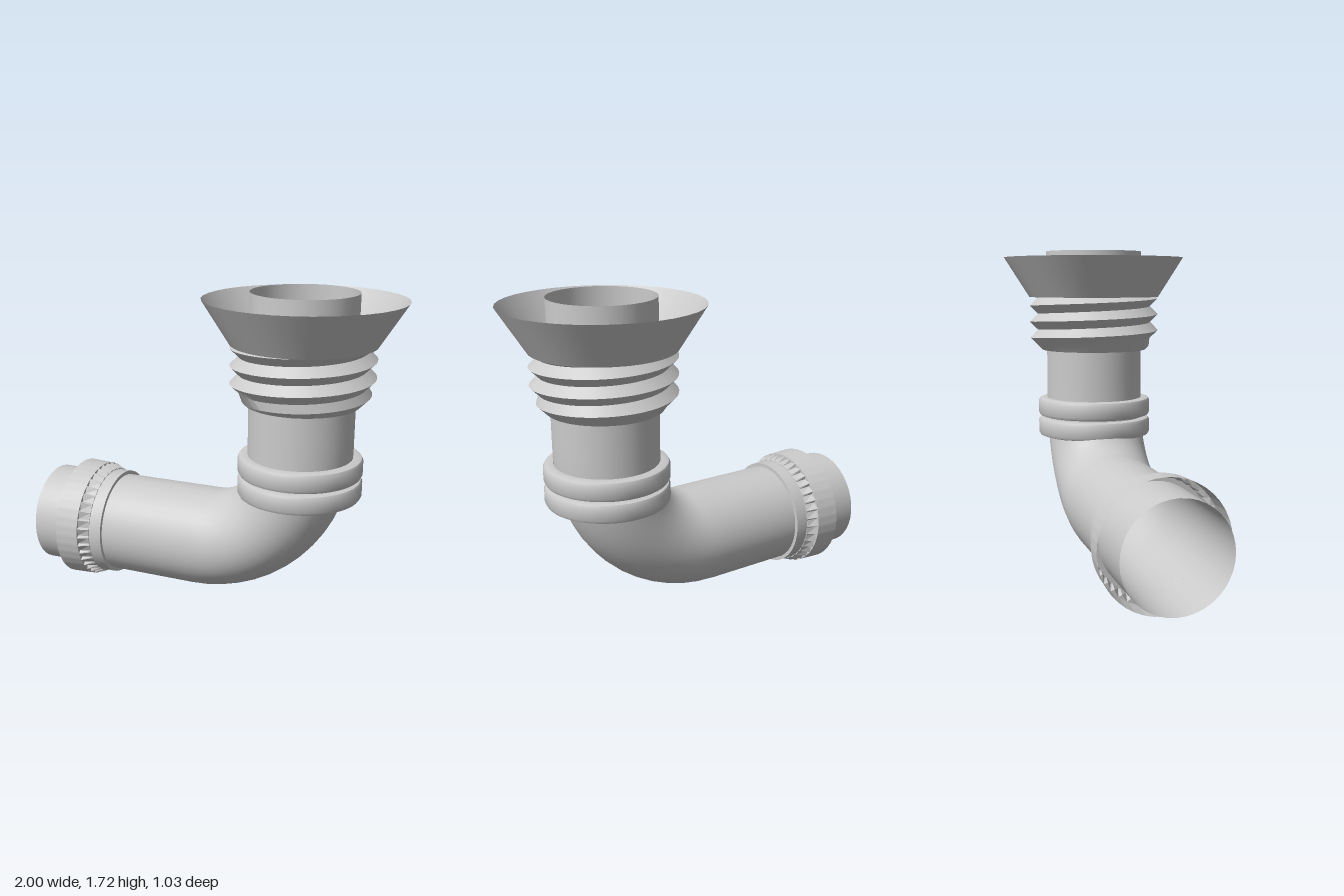
import * as THREE from 'three';
import { toCreasedNormals } from 'three/addons/utils/BufferGeometryUtils.js';

const TAU = Math.PI * 2;
const AXIS_X = 0.48;   // upright pipe axis
const AXIS_Y = 0.335;  // level pipe axis
const R = 0.275;       // pipe radius

const smooth = new THREE.MeshStandardMaterial({ color: 0xcccccc, side: THREE.DoubleSide });
const faceted = new THREE.MeshStandardMaterial({ color: 0xcccccc, side: THREE.DoubleSide, flatShading: true });

// Skin a grid of points: rows x (cols + 1), point(row, col) -> [x, y, z]
function skin(rows, cols, point) {
  const pos = [], index = [];
  for (let j = 0; j < rows; j++) {
    for (let i = 0; i <= cols; i++) pos.push(...point(j, i));
  }
  for (let j = 0; j < rows - 1; j++) {
    for (let i = 0; i < cols; i++) {
      const a = j * (cols + 1) + i, c = a + cols + 1;
      index.push(a, a + 1, c, a + 1, c + 1, c);
    }
  }
  const g = new THREE.BufferGeometry();
  g.setAttribute('position', new THREE.Float32BufferAttribute(pos, 3));
  g.setIndex(index);
  return toCreasedNormals(g, 0.6);
}

// Turned ring from [radius, height] pairs
function turned(profile, segments = 48) {
  const g = new THREE.LatheGeometry(profile.map(([r, y]) => new THREE.Vector2(r, y)), segments);
  return toCreasedNormals(g, 0.6);
}

// Bent pipe: each section spans from an inner-bend point to an outer-bend point
function bentPipe() {
  const sections = [[[-1, 0.61], [-1, 0.06]], [[-0.5, 0.61], [-0.5, 0.06]]];
  const steps = 14;
  for (let k = 0; k <= steps; k++) {
    const t = (k / steps) * Math.PI / 2, s = Math.sin(t), c = Math.cos(t);
    sections.push([
      [0.005 + 0.2 * s, 0.81 - 0.2 * c],
      [-0.095 + 0.85 * s, 0.91 - 0.85 * c],
    ]);
  }
  sections.push([[0.205, 1.0], [0.755, 1.0]], [[0.205, 1.725], [0.755, 1.725]]);
  const cols = 40;
  return skin(sections.length, cols, (j, i) => {
    const [p, q] = sections[j], b = (i / cols) * TAU, k = (1 + Math.cos(b)) / 2;
    return [p[0] + (q[0] - p[0]) * k, p[1] + (q[1] - p[1]) * k, -R * Math.sin(b)];
  });
}

// Threaded sleeve: a V-shaped ridge that climbs one pitch per turn, trimmed flat at both ends
function threadedSleeve() {
  const pitch = 0.092, start = 1.163, low = 1.16, high = 1.47, cols = 48;
  return skin(13, cols, (j, i) => {
    const v = j / 2 - 1.5, a = (i / cols) * TAU;
    const y = THREE.MathUtils.clamp(start + (v + i / cols) * pitch, low, high);
    const ridge = Math.abs(v % 1) === 0.5 ? 0.373 : 0.327;
    const r = Math.min(ridge, 0.30 + (y - low));
    return [AXIS_X + r * Math.cos(a), y, -r * Math.sin(a)];
  });
}

// Grip nut: open shell with a ring of sawtooth notches on its shoulder
function gripNut() {
  const teeth = 40;
  const rows = [[-0.83, 0.333, 0.333], [-0.70, 0.327, 0.327], [-0.70, 0.327, 0.308],
    [-0.64, 0.302, 0.296], [-0.64, R, R]];
  return skin(rows.length, teeth * 2, (j, i) => {
    const notch = i % 2;
    const b = ((Math.floor(i / 2) + notch * 0.8) / teeth) * TAU;
    const r = rows[j][1 + notch];
    return [rows[j][0], AXIS_Y - r * Math.cos(b), -r * Math.sin(b)];
  });
}

export function createModel() {
  const model = new THREE.Group();
  model.name = 'pipeElbow';
  const add = (name, geometry, material = smooth, x = 0, y = 0) => {
    const mesh = new THREE.Mesh(geometry, material);
    mesh.name = name;
    mesh.position.set(x, y, 0);
    model.add(mesh);
    return mesh;
  };

  add('bentPipe', bentPipe());

  // Pair of rounded collars above the bend
  const collar = [[R, 0], [0.305, 0], [0.319, 0.005], [0.327, 0.02], [0.327, 0.085],
    [0.319, 0.1], [0.305, 0.105], [R, 0.105]];
  add('lowerCollar', turned(collar), smooth, AXIS_X, 0.66);
  add('upperCollar', turned(collar), smooth, AXIS_X, 0.775);

  // Sleeve and open funnel round the upright pipe
  add('threadedSleeve', threadedSleeve());
  add('funnel', turned([[0.375, 1.465], [0.517, 1.69]], 36), smooth, AXIS_X);

  // Coupling on the level pipe
  add('gripNut', gripNut(), faceted);
  const ring = add('couplingRing', turned([[R, 0], [0.295, 0], [0.295, 0.07], [R, 0.07]]),
    smooth, -0.64, AXIS_Y);
  ring.rotation.z = -Math.PI / 2;

  return model;
}
